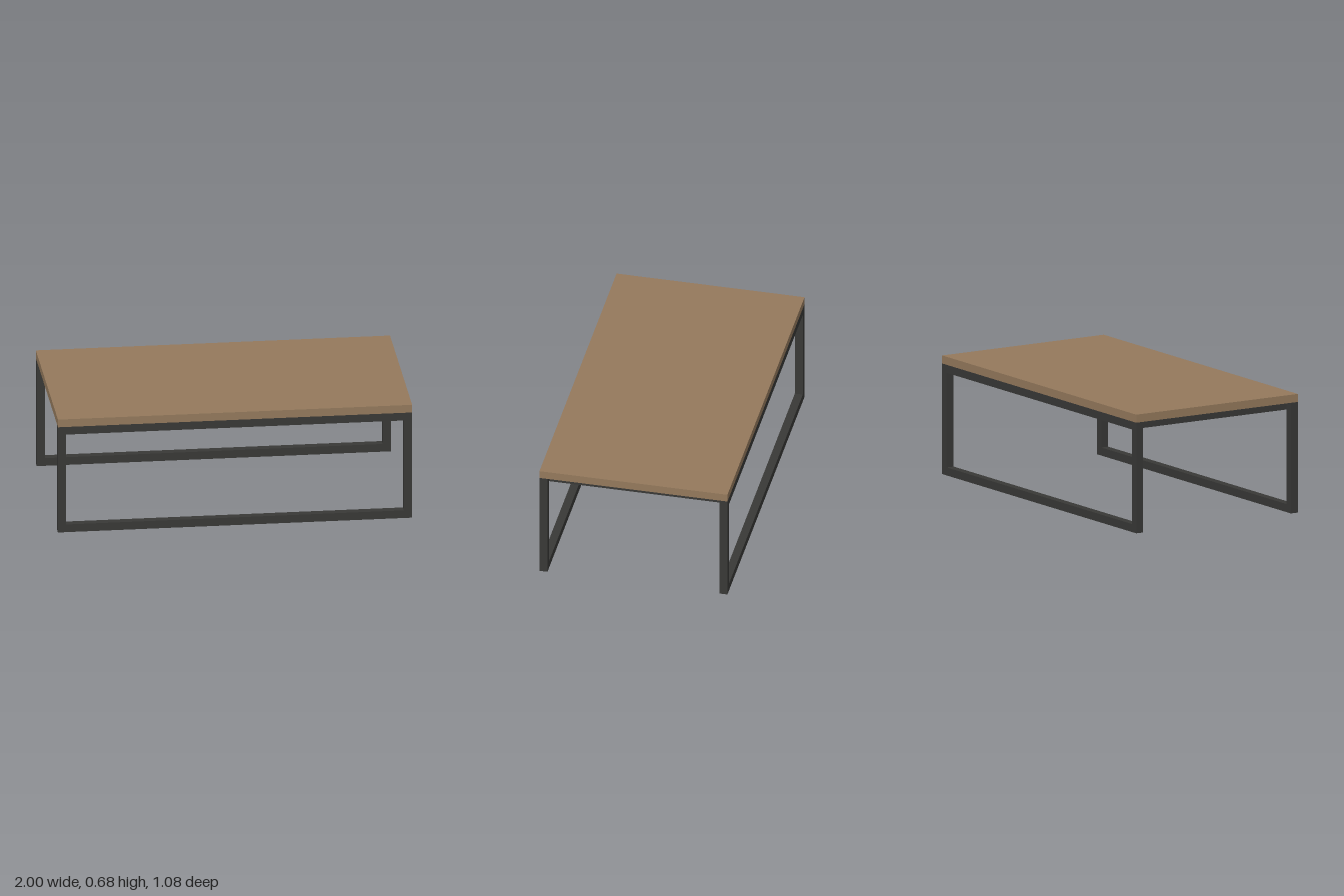
import * as THREE from 'three';

const W = 2, D = 1.08;          // overall width and depth
const BAR = 0.046;              // square bar section
const FRAME_H = 0.633, TOP_H = 0.046;

export function createModel() {
  const table = new THREE.Group();
  table.name = 'coffeeTable';
  const wood = new THREE.MeshStandardMaterial({ color: 0x94795c });
  const metal = new THREE.MeshStandardMaterial({ color: 0x383836 });

  function box(name, w, h, d, y, material) {
    const mesh = new THREE.Mesh(new THREE.BoxGeometry(w, h, d), material);
    mesh.name = name;
    mesh.position.y = y;
    table.add(mesh);
  }

  // Wooden top
  box('tableTop', W, TOP_H, D, FRAME_H + TOP_H / 2, wood);

  // Support panel between the frames, set in from the ends
  box('supportPanel', W - 2 * BAR, BAR, D - 2 * BAR, FRAME_H - BAR / 2, metal);

  // Rectangular loop frames, one along each long side
  const outline = new THREE.Shape([
    new THREE.Vector2(-W / 2, 0), new THREE.Vector2(W / 2, 0),
    new THREE.Vector2(W / 2, FRAME_H), new THREE.Vector2(-W / 2, FRAME_H),
  ]);
  const x = W / 2 - BAR, y = FRAME_H - BAR;
  outline.holes.push(new THREE.Path([
    new THREE.Vector2(-x, BAR), new THREE.Vector2(-x, y),
    new THREE.Vector2(x, y), new THREE.Vector2(x, BAR),
  ]));
  const frameGeometry = new THREE.ExtrudeGeometry(outline, { depth: BAR, bevelEnabled: false });
  for (const [name, z] of [['frontFrame', D / 2 - BAR], ['backFrame', -D / 2]]) {
    const frame = new THREE.Mesh(frameGeometry, metal);
    frame.name = name;
    frame.position.z = z;
    table.add(frame);
  }

  return table;
}
